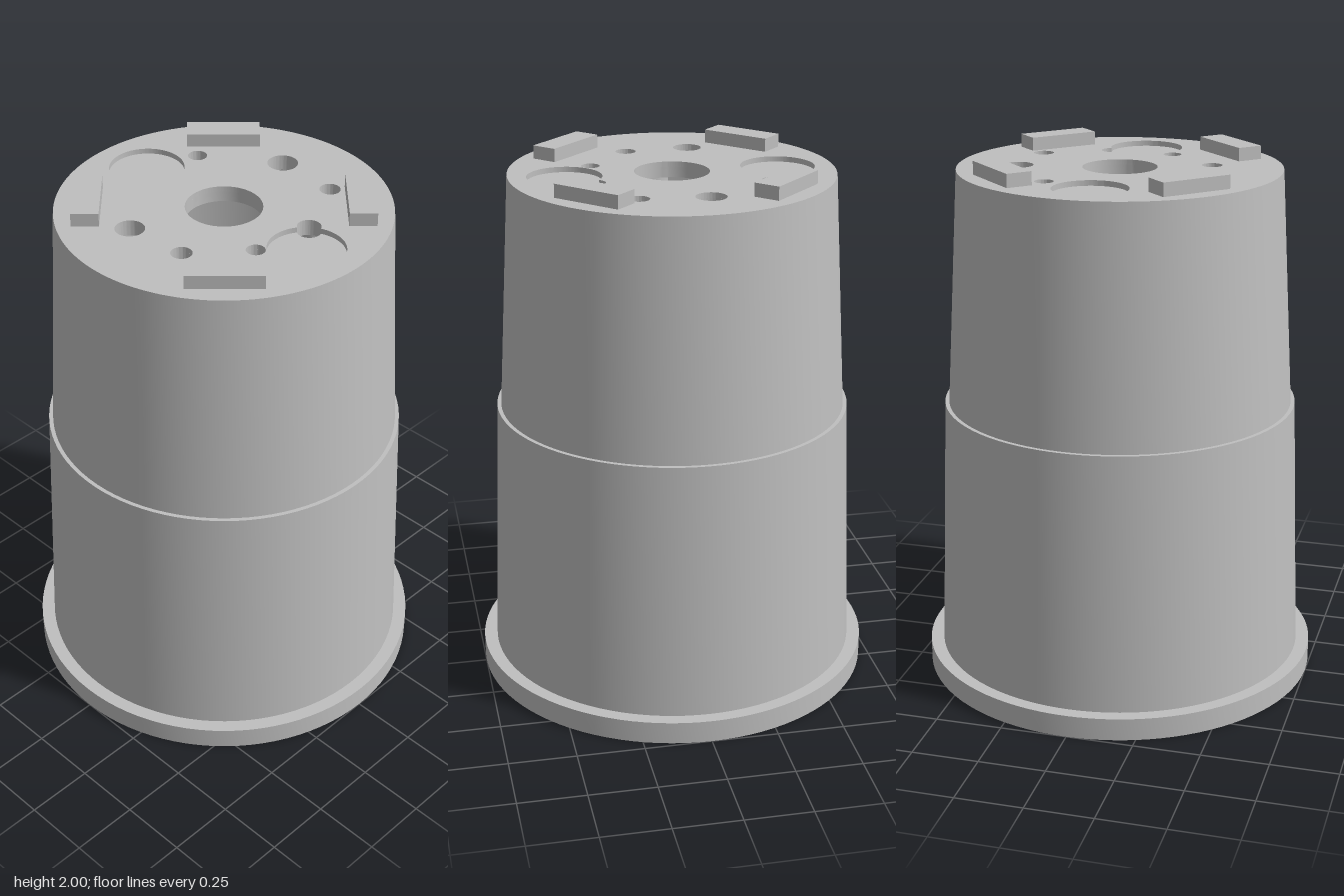
import * as THREE from 'three';
import { toCreasedNormals } from 'three/addons/utils/BufferGeometryUtils.js';

const TAU = Math.PI * 2;

// Centre hole and drain holes: [x, z, radius]
const HOLES = [
  [0, 0, 0.138], [-0.065, -0.37, 0.056], [0.185, -0.35, 0.038], [-0.325, -0.19, 0.035],
  [0.305, -0.11, 0.043], [0.28, 0.13, 0.034], [0.115, 0.32, 0.038], [-0.125, 0.335, 0.053],
];
const MERGED = HOLES[4]; // this hole bites into the right pocket
const POCKET = [0.395, 0, 0.137];

// Shapes are drawn in plan, with shape y = -z
function circle(path, [x, z, r]) {
  path.absarc(x, -z, r, 0, TAU, false);
  return path;
}

// Outline of two overlapping circles
function unionPath([ax, az, ra], [bx, bz, rb]) {
  const dx = bx - ax, dy = az - bz, d = Math.hypot(dx, dy), dir = Math.atan2(dy, dx);
  const a = Math.acos((d * d + ra * ra - rb * rb) / (2 * d * ra));
  const b = Math.acos((d * d + rb * rb - ra * ra) / (2 * d * rb));
  const path = new THREE.Path();
  path.absarc(ax, -az, ra, dir + a, dir - a + TAU, false);
  path.absarc(bx, -bz, rb, dir + Math.PI + b, dir + Math.PI - b + TAU, false);
  return path;
}

// Raise a plan shape from y0 to y1
function slab(shape, y0, y1, curveSegments = 48) {
  const g = new THREE.ExtrudeGeometry(shape, { depth: y1 - y0, bevelEnabled: false, curveSegments });
  return g.rotateX(-Math.PI / 2).translate(0, y0, 0);
}

function lathe(points, segments) {
  return new THREE.LatheGeometry(points.map(([x, y]) => new THREE.Vector2(x, y)), segments);
}

export function createModel() {
  const model = new THREE.Group();
  model.name = 'upturnedPot';
  const grey = new THREE.MeshStandardMaterial({ color: 0xbfbfbf });
  grey.name = 'grey plastic';

  const add = (name, geometry) => {
    const mesh = new THREE.Mesh(toCreasedNormals(geometry, 0.5), grey);
    mesh.name = name;
    model.add(mesh);
    return mesh;
  };

  // Tapered, stepped wall with flange and inner rebate
  add('wall', lathe([
    [0.56, 1.89], [0.61, 1.065], [0.625, 1.065], [0.65, 0.06], [0.68, 0.06], [0.68, 0],
    [0.75, 0], [0.75, 0.085], [0.70, 0.085], [0.665, 1.065], [0.65, 1.065], [0.60, 1.95],
  ], 96));

  // Lower base layer: pierced by the holes, forms the pocket floors
  const lower = circle(new THREE.Shape(), [0, 0, 0.58]);
  HOLES.forEach(h => lower.holes.push(circle(new THREE.Path(), h)));
  add('baseFloor', slab(lower, 1.89, 1.93));

  // Upper base layer: also cut by the two round pockets
  const upper = circle(new THREE.Shape(), [0, 0, 0.5995]);
  HOLES.filter(h => h !== MERGED).forEach(h => upper.holes.push(circle(new THREE.Path(), h)));
  upper.holes.push(unionPath(POCKET, MERGED));
  upper.holes.push(circle(new THREE.Path(), [-POCKET[0], 0, POCKET[2]]));
  add('baseTop', slab(upper, 1.93, 1.95, 96));

  // Four feet on the base
  for (const sx of [-1, 1]) for (const sz of [-1, 1]) {
    const foot = add('foot', new THREE.BoxGeometry(0.27, 0.06, 0.098));
    foot.position.set(sx * 0.34, 1.97, sz * 0.34);
    foot.rotation.y = sx * sz * Math.PI / 4;
  }

  // Inner fittings, repeated on opposite sides
  for (const s of [1, -1]) {
    // Hollow screw post
    const post = add('post', lathe([
      [0.001, 0.5], [0.025, 0.5], [0.025, 0.37], [0.083, 0.37], [0.083, 1.9],
    ].map(([x, y]) => [x, y]), 32));
    post.position.z = s * 0.5;

    // Vertical rib on the side wall
    const rib = add('sideRib', new THREE.BoxGeometry(0.05, 0.36, 0.045));
    rib.position.set(-s * 0.64, 0.28, 0);

    // Curved ledge following the wall
    const ledge = new THREE.Shape();
    const a0 = -2.03, a1 = -1.37;
    ledge.absarc(0, 0, 0.66, a0, a1, false);
    ledge.absarc(0, 0, 0.61, a1, a0, true);
    add('curvedLedge', slab(ledge, 0.33, 0.37, 24)).rotation.y = s > 0 ? 0 : Math.PI;
  }

  return model;
}
